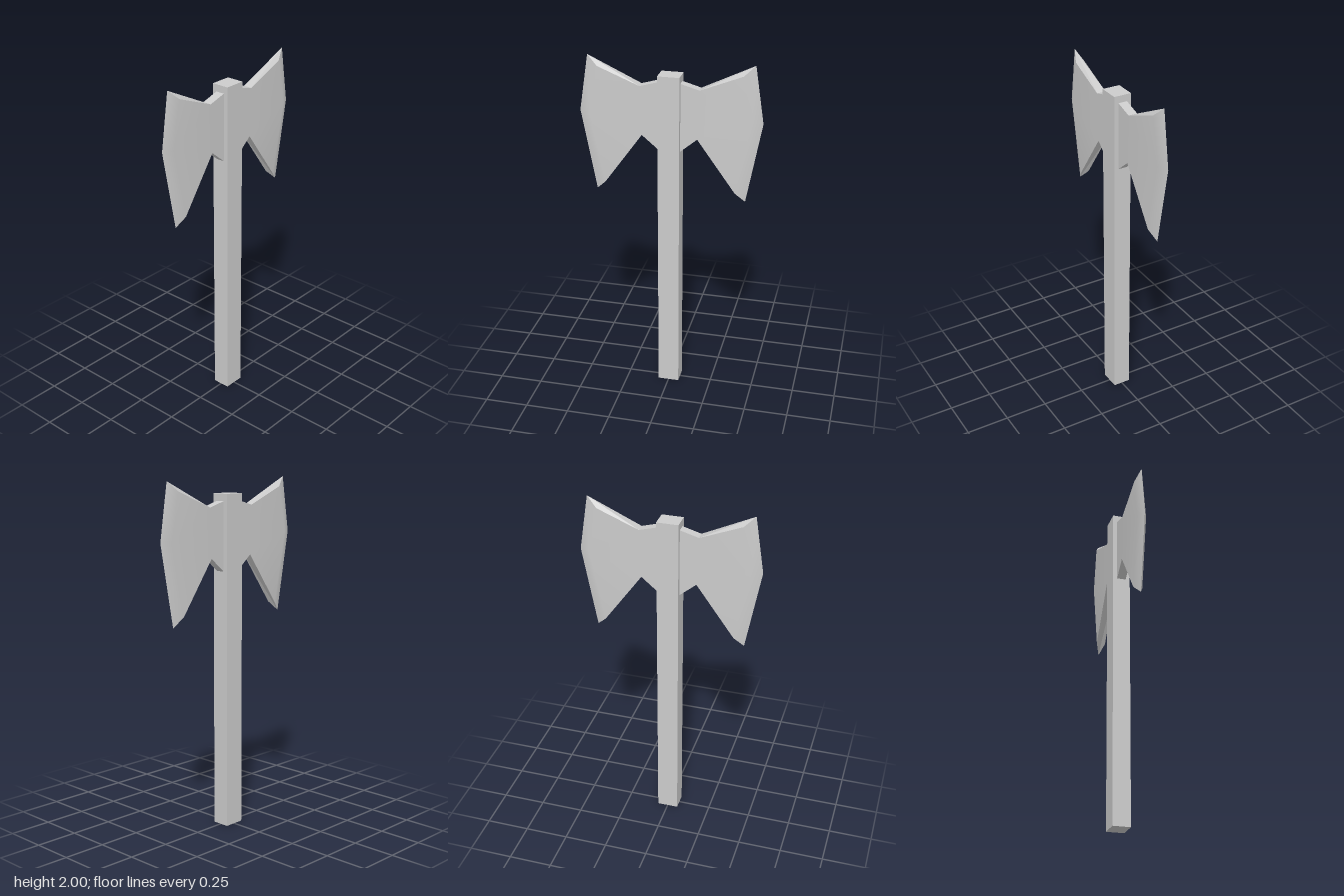
import * as THREE from 'three';
import { mergeGeometries } from 'three/addons/utils/BufferGeometryUtils.js';

const HALF = 0.026; // half thickness of a blade

// Flat cheek outline, counter-clockwise, then the three points of the cutting edge
const CHEEK = [[0.06, 1.49], [0.155, 1.57], [0.37, 1.27], [0.452, 1.68], [0.4, 1.945], [0.165, 1.85], [0.06, 1.88]];
const EDGE = [[0.425, 1.215], [0.51, 1.68], [0.46, 2.0]];

// Indexed triangles; flat = true gives every face its own normal
function surface(points, faces, flat) {
  let geometry = new THREE.BufferGeometry();
  geometry.setAttribute('position', new THREE.Float32BufferAttribute(points.flat(), 3));
  geometry.setIndex(faces.flat());
  if (flat) geometry = geometry.toNonIndexed();
  geometry.computeVertexNormals();
  return flat ? geometry : geometry.toNonIndexed();
}

function bladeGeometry() {
  const at = (list, z) => list.map(([x, y]) => [x, y, z]);
  const parts = [];

  // Cheek flowing smoothly into its bevel, on each side
  const cheek = THREE.ShapeUtils.triangulateShape(CHEEK.map(([x, y]) => new THREE.Vector2(x, y)), []);
  const bevel = [[2, 7, 8], [2, 8, 3], [3, 8, 9], [3, 9, 4]];
  for (const side of [1, -1]) {
    const faces = [...cheek, ...bevel].map(([a, b, c]) => (side > 0 ? [a, b, c] : [a, c, b]));
    parts.push(surface([...at(CHEEK, side * HALF), ...at(EDGE, 0)], faces, false));
  }

  // Rim: front points 0-6, back points 7-13, cutting edge 14-16
  const rim = [
    [1, 14, 2], [4, 16, 5], [8, 9, 14], [11, 12, 16], // slivers beside the tips
    [1, 8, 14], [16, 12, 5],                          // tapering walls to the tips
  ];
  for (const [a, b] of [[0, 1], [5, 6], [6, 0]]) rim.push([a, a + 7, b + 7], [a, b + 7, b]);
  parts.push(surface([...at(CHEEK, HALF), ...at(CHEEK, -HALF), ...at(EDGE, 0)], rim, true));
  return mergeGeometries(parts);
}

export function createModel() {
  const model = new THREE.Group();
  model.name = 'doubleAxe';
  const material = new THREE.MeshStandardMaterial({ color: 0xcccccc });

  // Square handle
  const handle = new THREE.Mesh(new THREE.BoxGeometry(0.122, 1.92, 0.102), material);
  handle.name = 'handle';
  handle.position.y = 0.96;
  model.add(handle);

  // Two opposed blades
  const geometry = bladeGeometry();
  ['leftBlade', 'rightBlade'].forEach((name, i) => {
    const blade = new THREE.Mesh(geometry, material);
    blade.name = name;
    blade.rotation.y = i * Math.PI;
    model.add(blade);
  });
  return model;
}
